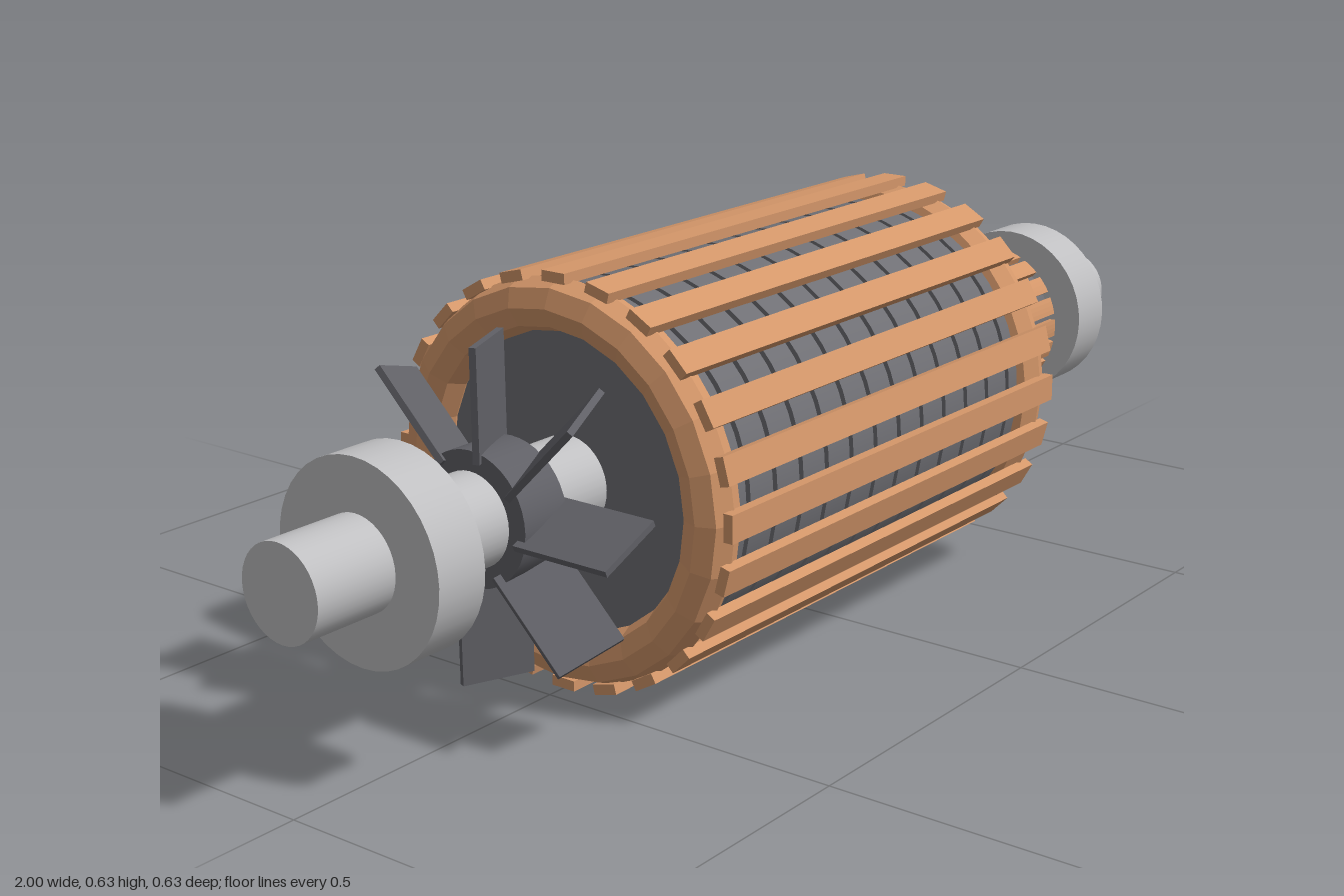
import * as THREE from 'three';

export function createModel() {
  const model = new THREE.Group();
  model.name = 'motorArmature';
  const axle = new THREE.Group();
  axle.name = 'axleAssembly';
  axle.position.y = 0.315;
  model.add(axle);

  const mat = (name, color) => {
    const m = new THREE.MeshStandardMaterial({ color });
    m.name = name;
    return m;
  };
  const steel = mat('steel', 0xc0c0c2);
  const iron = mat('iron', 0x707075);
  const fanGrey = mat('fanGrey', 0x606066);
  const copper = mat('copper', 0xd4976a);
  const collarRed = mat('collarRed', 0xc4603c);

  const add = (name, geo, material, parent = axle) => {
    const mesh = new THREE.Mesh(geo, material);
    mesh.name = name;
    parent.add(mesh);
    return mesh;
  };
  // Cylinder along x from x0 to x1
  const rod = (name, r, x0, x1, material, seg = 40) => {
    const g = new THREE.CylinderGeometry(r, r, x1 - x0, seg);
    g.rotateZ(-Math.PI / 2);
    g.translate((x0 + x1) / 2, 0, 0);
    return add(name, g, material);
  };
  // Repeats a part around the axle
  const around = (name, count, make) => {
    const group = new THREE.Group();
    group.name = name;
    axle.add(group);
    for (let i = 0; i < count; i++) {
      const arm = new THREE.Group();
      arm.rotation.x = (i / count) * Math.PI * 2;
      group.add(arm);
      make(arm);
    }
  };

  // Shaft, key and bearings
  rod('shaft', 0.07, -1, 1, steel);
  add('shaftKey', new THREE.BoxGeometry(0.14, 0.042, 0.03), steel).position.set(0.93, 0, -0.07);
  rod('leftEndBearing', 0.148, -0.865, -0.78, steel);
  rod('rightEndBearing', 0.148, 0.775, 0.86, steel);

  // Laminated core: discs separated by shallow grooves
  const coreStart = -0.45, coreEnd = 0.37, discs = 13;
  const pitch = (coreEnd - coreStart) / discs;
  rod('coreBody', 0.262, coreStart + 0.01, coreEnd - 0.01, iron, 48);
  for (let i = 0; i < discs; i++) {
    const x = coreStart + i * pitch;
    rod('coreLamination', 0.28, x + 0.005, x + pitch - 0.005, iron, 48);
  }

  // Faceted winding end rings
  for (const x of [coreStart, coreEnd]) {
    let ring = new THREE.TorusGeometry(0.265, 0.04, 8, 24);
    ring.rotateY(Math.PI / 2);
    ring = ring.toNonIndexed();
    ring.computeVertexNormals();
    add('windingEndRing', ring, copper).position.x = x;
  }

  // Winding bars along the core
  const windingBar = new THREE.BoxGeometry(0.86, 0.016, 0.042);
  around('windingBars', 24, (arm) => {
    add('windingBar', windingBar, copper, arm).position.set(-0.04, 0.307, 0);
  });

  // Commutator with its insulating collar
  rod('commutatorCollar', 0.105, 0.455, 0.5, collarRed);
  rod('commutatorInsulator', 0.119, 0.497, 0.718, iron);
  const segments = 20, half = Math.PI / segments * 0.74;
  const wedge = new THREE.Shape();
  wedge.absarc(0, 0, 0.13, -half, half, false);
  wedge.absarc(0, 0, 0.072, half, -half, true);
  const segmentGeo = new THREE.ExtrudeGeometry(wedge, { depth: 0.225, bevelEnabled: false, curveSegments: 2 });
  segmentGeo.rotateY(Math.PI / 2);
  around('commutatorSegments', segments, (arm) => {
    add('commutatorSegment', segmentGeo, copper, arm).position.x = 0.495;
  });

  // Cooling fan with pitched blades
  rod('fanHub', 0.1, -0.65, -0.565, fanGrey);
  const bladeGeo = new THREE.BoxGeometry(0.11, 0.165, 0.01);
  around('fanBlades', 8, (arm) => {
    const blade = add('fanBlade', bladeGeo, fanGrey, arm);
    blade.position.set(-0.608, 0.1675, 0);
    blade.rotation.y = 0.4;
  });

  return model;
}
